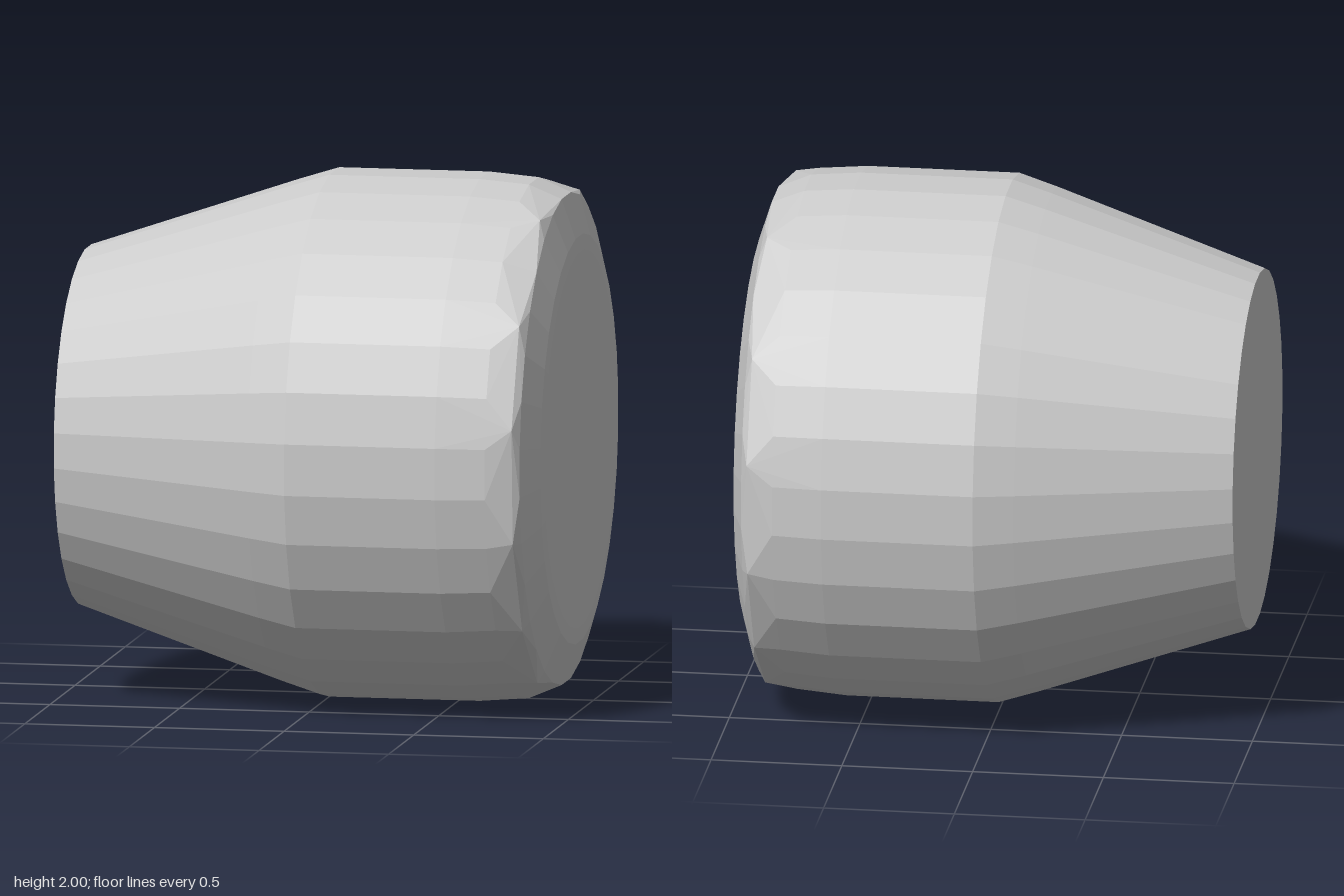
import * as THREE from 'three';
import { ConvexGeometry } from 'three/addons/geometries/ConvexGeometry.js';

const SIDES = 32;

// Point around the x axis; angle is measured from straight up
const around = (x, r, angle) =>
  new THREE.Vector3(x, 1 + r * Math.cos(angle), r * Math.sin(angle));

export function createModel() {
  const group = new THREE.Group();
  group.name = 'taperedPlug';
  const points = [];

  // Cross-sections along x: [position, radius], narrow end to wide end
  const sections = [
    [-0.95, 0.685], [-0.15, 0.957], [0, 1.004], [0.58, 1.004],
    [0.77, 0.988], [0.895, 0.935], [0.945, 0.78], [0.95, 0.72],
  ];
  for (const [x, r] of sections) {
    for (let i = 0; i < SIDES; i++) {
      points.push(around(x, r, ((i + 0.5) / SIDES) * Math.PI * 2));
    }
  }

  // Uneven corners that give the wide rim its chipped edge
  for (const degrees of [24, 56, 80, 106, 130, 153]) {
    for (const side of [-1, 1]) {
      points.push(around(0.87, 0.978, side * THREE.MathUtils.degToRad(degrees)));
    }
  }

  const material = new THREE.MeshStandardMaterial({ color: 0xcccccc, flatShading: true });
  const body = new THREE.Mesh(new ConvexGeometry(points), material);
  body.name = 'body';
  group.add(body);
  return group;
}
